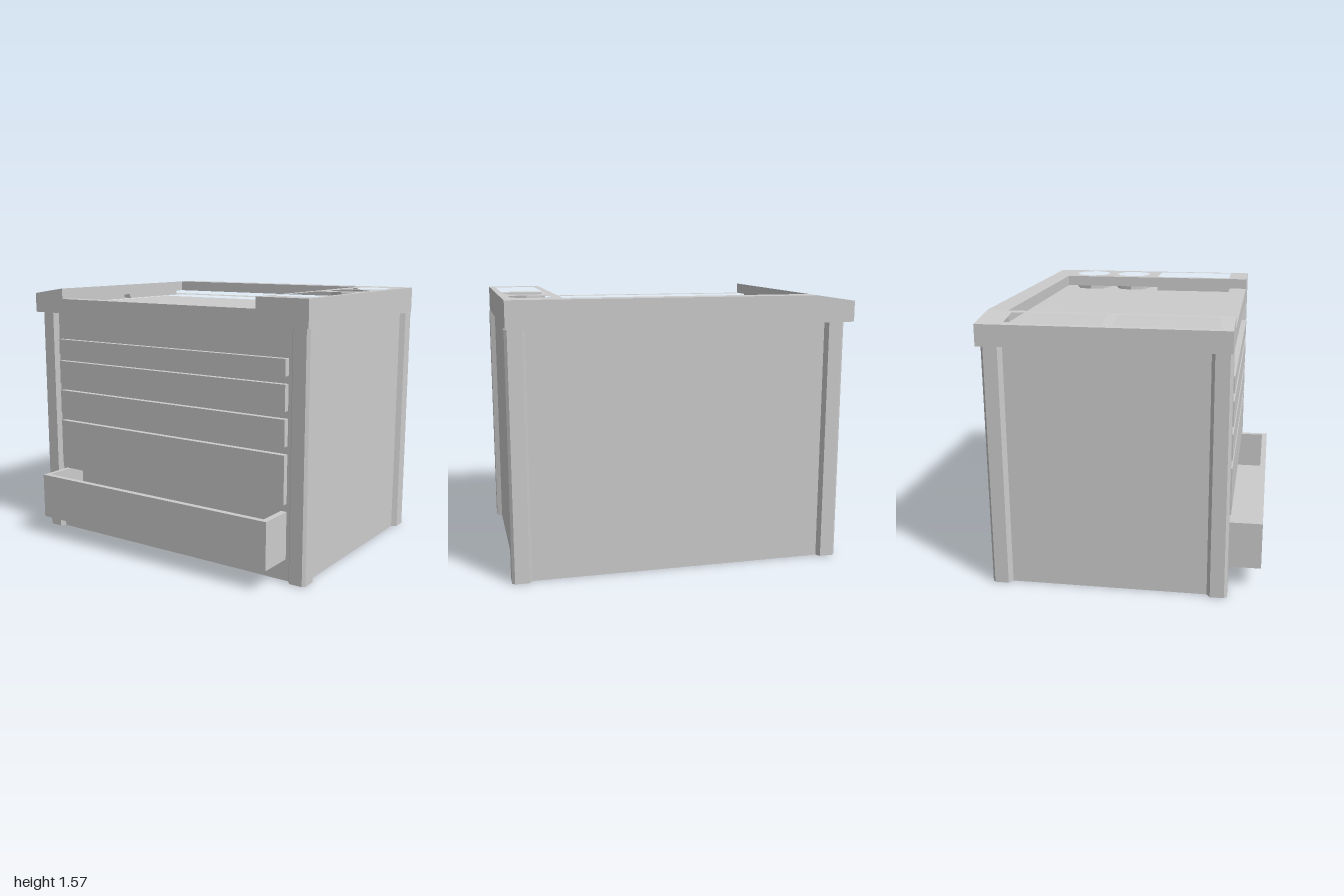
import * as THREE from 'three';

const material = new THREE.MeshStandardMaterial({ color: 0xcccccc, flatShading: true });

function add(group, name, geometry) {
  const mesh = new THREE.Mesh(geometry, material);
  mesh.name = name;
  group.add(mesh);
  return mesh;
}

// Box given by its limits on each axis
function box(x0, x1, y0, y1, z0, z1) {
  return new THREE.BoxGeometry(x1 - x0, y1 - y0, z1 - z0)
    .translate((x0 + x1) / 2, (y0 + y1) / 2, (z0 + z1) / 2);
}

// Corners of a rectangle in plan, as [x, z]
const rect = (x0, x1, z0, z1) => [[x0, z0], [x1, z0], [x1, z1], [x0, z1]];

// Regular octagon in plan
const octagon = (x, z, r) => Array.from({ length: 8 }, (_, i) => {
  const a = i * Math.PI / 4;
  return [x + r * Math.cos(a), z + r * Math.sin(a)];
});

// Plan outline with holes, raised from y0 to y1
function slab(outline, holes, y0, y1) {
  const points = (list) => list.map(([x, z]) => new THREE.Vector2(x, -z));
  const shape = new THREE.Shape(points(outline));
  shape.holes = holes.map((h) => new THREE.Path(points(h)));
  return new THREE.ExtrudeGeometry(shape, { depth: y1 - y0, bevelEnabled: false })
    .rotateX(-Math.PI / 2).translate(0, y0, 0);
}

export function createModel() {
  const group = new THREE.Group();
  const bodyTop = 1.415;

  // Cabinet body, with a front panel cut out for the open drawer
  add(group, 'body', box(-0.915, 0.965, 0, bodyTop, -0.745, 0.45));
  const panel = new THREE.Shape([[-0.915, 0], [0.965, 0], [0.965, bodyTop], [-0.915, bodyTop]]
    .map((p) => new THREE.Vector2(...p)));
  panel.holes.push(new THREE.Path([[-0.8, 0.125], [0.86, 0.125], [0.86, 0.4], [-0.8, 0.4]]
    .map((p) => new THREE.Vector2(...p))));
  add(group, 'frontPanel',
    new THREE.ExtrudeGeometry(panel, { depth: 0.11, bevelEnabled: false }).translate(0, 0, 0.45));

  // Corner posts, profile measured inward from the outer corner
  const profile = [[0.115, 0.03], [0.095, 0], [0.015, 0], [0, 0.015], [0, 0.095], [0.03, 0.115], [0.115, 0.115]];
  for (const [cx, sx] of [[-0.945, 1], [0.995, -1]]) {
    for (const [cz, sz] of [[-0.772, 1], [0.59, -1]]) {
      const outline = profile.map(([u, v]) => [cx + sx * u, cz + sz * v]);
      add(group, 'cornerPost', slab(outline, [], 0, bodyTop));
    }
  }

  // Closed drawers
  for (const [y0, y1] of [[1.155, 1.25], [0.965, 1.112], [0.77, 0.922], [0.445, 0.725]]) {
    add(group, 'drawerFront', box(-0.8, 0.86, y0, y1, 0.555, 0.595));
  }

  // Open bottom drawer
  const drawer = new THREE.Group();
  drawer.name = 'openDrawer';
  add(drawer, 'drawerFloor', box(-0.8, 0.86, 0.125, 0.155, 0.45, 0.775));
  add(drawer, 'drawerWalls', slab(
    [[-0.8, 0.45], [-0.8, 0.775], [0.86, 0.775], [0.86, 0.45],
      [0.825, 0.45], [0.825, 0.74], [-0.77, 0.74], [-0.77, 0.45]], [], 0.155, 0.4));
  group.add(drawer);

  // Worktop, stacked in layers so that each recess gets its own floor
  const trayX0 = -0.765, trayX1 = 0.665, back = -0.78, front = 0.59;
  const full = rect(-1, 0.99, back, front);
  const tray = rect(trayX0, trayX1, -0.66, 0.515);
  const leftPockets = [rect(-0.97, -0.795, -0.63, -0.1), rect(-0.97, -0.795, -0.04, 0.515)];
  const rightPockets = [rect(0.705, 0.955, -0.03, 0.47), octagon(0.83, -0.51, 0.12), octagon(0.83, -0.22, 0.12)];
  const top = new THREE.Group();
  top.name = 'worktop';
  add(top, 'trayFloor', slab(full, [], bodyTop, 1.45));
  add(top, 'pocketFloor', slab(full, [tray], 1.45, 1.475));
  add(top, 'trayLip', slab(full, [tray, ...leftPockets, ...rightPockets], 1.475, 1.505));
  add(top, 'raisedRim', slab(
    [[trayX0, back], [0.99, back], [0.99, front], [trayX1, front], [trayX1, -0.66], [trayX0, -0.66]],
    rightPockets, 1.505, 1.57));

  // End of the worktop that slopes down to the side
  const slope = slab(rect(-1, trayX0, back, front), leftPockets, 1.505, 1.57);
  const pos = slope.attributes.position;
  for (let i = 0; i < pos.count; i++) {
    if (pos.getY(i) > 1.54) pos.setY(i, 1.57 - 0.035 * (trayX0 - pos.getX(i)) / 0.235);
  }
  slope.computeVertexNormals();
  add(top, 'slopedEnd', slope);
  group.add(top);

  return group;
}
